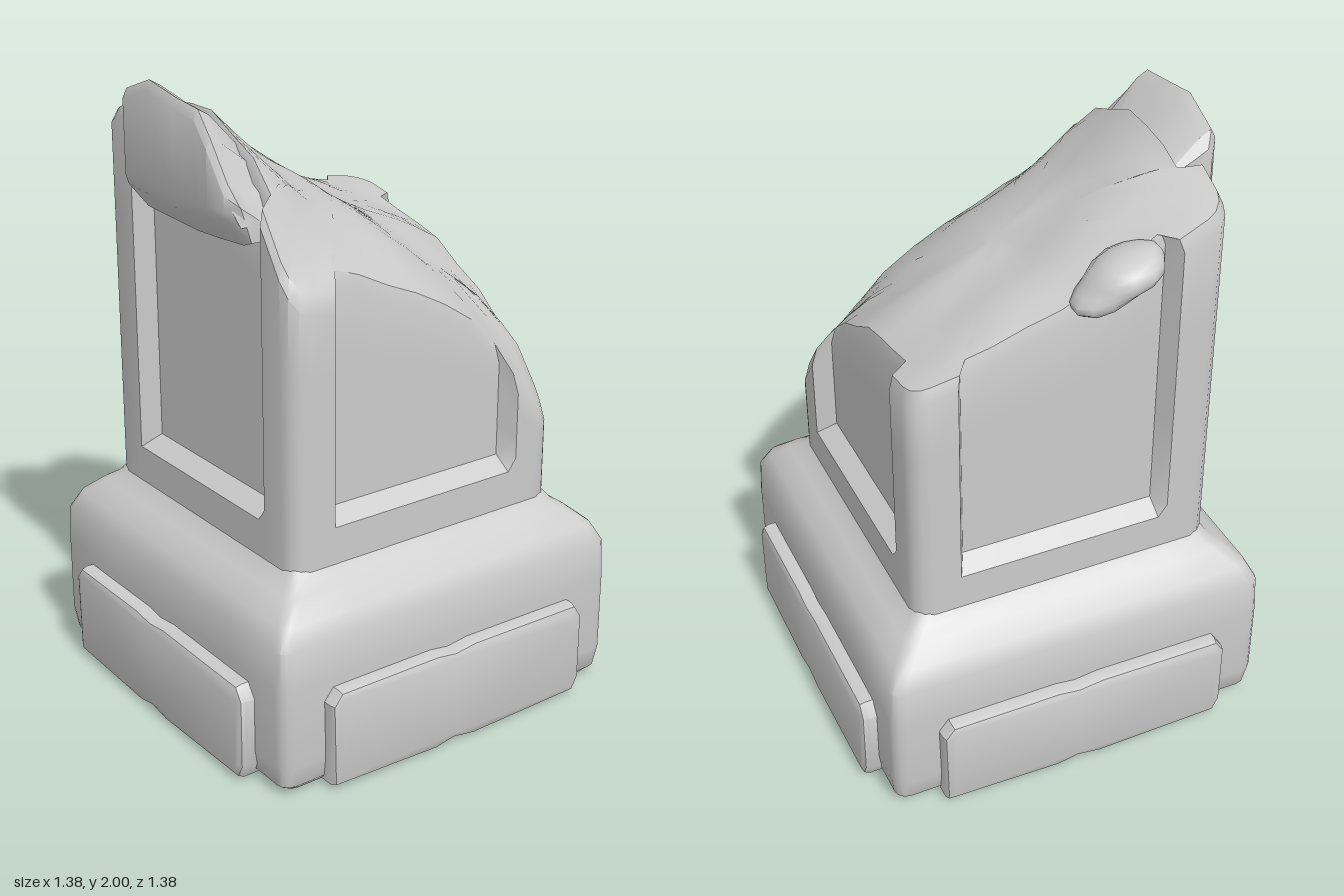
import * as THREE from 'three';
import { toCreasedNormals } from 'three/addons/utils/BufferGeometryUtils.js';

const material = new THREE.MeshStandardMaterial({ color: 0xcccccc });

function addMesh(parent, name, geometry, crease = 0.6) {
  const mesh = new THREE.Mesh(toCreasedNormals(geometry, crease), material);
  mesh.name = name;
  parent.add(mesh);
  return mesh;
}

// Skin a list of closed rings, each a list of [x, y, z]
function loft(rings) {
  const n = rings[0].length, index = [];
  for (let i = 0; i < rings.length - 1; i++) {
    for (let j = 0; j < n; j++) {
      const k = (j + 1) % n, a = i * n + j, b = i * n + k;
      index.push(a, b, b + n, a, b + n, a + n);
    }
  }
  const geometry = new THREE.BufferGeometry();
  geometry.setAttribute('position', new THREE.Float32BufferAttribute(rings.flat(2), 3));
  geometry.setIndex(index);
  return geometry;
}

// Rounded square outline as [x, z]; "recess" sinks the middle of each side
function outline(half, radius, recess = 0) {
  const points = [], inner = half - radius;
  const across = [-inner, -0.35, -0.32, -0.22, -0.11, 0, 0.11, 0.22, 0.32, 0.35, inner];
  for (let side = 0; side < 4; side++) {
    const sidePoints = across.map(u => [half - (Math.abs(u) < 0.33 ? recess : 0), -u]);
    for (const a of [Math.PI / 6, Math.PI / 3]) {
      sidePoints.push([inner + radius * Math.cos(a), -inner - radius * Math.sin(a)]);
    }
    for (let [x, z] of sidePoints) {
      for (let r = 0; r < side; r++) [x, z] = [z, -x];
      points.push([x, z]);
    }
  }
  return points;
}

const level = (points, y) => points.map(([x, z]) => [x, y, z]);
const centre = (ring, y) => ring.map(() => [0, y, 0]);

// Height of the broken top: rows run back to front, columns from -x to +x
const HEIGHTS = [
  [1.45, 1.42, 1.34, 1.18, 0.88],
  [1.51, 1.50, 1.46, 1.36, 1.18],
  [1.57, 1.60, 1.59, 1.53, 1.33],
  [1.70, 1.78, 1.76, 1.65, 1.44],
  [1.82, 1.96, 1.98, 1.85, 1.49],
];
function breakHeight(x, z) {
  const fx = THREE.MathUtils.clamp((x + 0.5) * 4, 0, 3.999);
  const fz = THREE.MathUtils.clamp((z + 0.5) * 4, 0, 3.999);
  const i = Math.floor(fx), j = Math.floor(fz), lerp = THREE.MathUtils.lerp;
  const y = lerp(lerp(HEIGHTS[j][i], HEIGHTS[j][i + 1], fx - i),
    lerp(HEIGHTS[j + 1][i], HEIGHTS[j + 1][i + 1], fx - i), fz - j);
  return y + 0.012 * Math.sin(13 * x + 5 * z) * Math.cos(11 * z - 4 * x);
}

function createBase(parent) {
  // Plinth with a rounded shoulder
  const profile = [[0.6, 0], [0.63, 0.03], [0.64, 0.1], [0.64, 0.36], [0.635, 0.48],
    [0.605, 0.54], [0.55, 0.59], [0.515, 0.615], [0.49, 0.65]];
  const rings = profile.map(([half, y]) => level(outline(half, 0.04), y));
  rings.unshift(centre(rings[0], 0));
  addMesh(parent, 'plinth', loft(rings), 0.7);

  // Raised, slightly worn slab on each side
  const shape = new THREE.Shape([
    [-0.465, 0.035], [-0.1, 0.022], [-0.03, 0.035], [0.05, 0.022], [0.455, 0.03],
    [0.47, 0.06], [0.47, 0.27], [0.45, 0.3], [0.05, 0.305], [-0.03, 0.295],
    [-0.1, 0.305], [-0.45, 0.305], [-0.47, 0.28],
  ].map(([x, y]) => new THREE.Vector2(x, y)));
  for (const name of ['front', 'right', 'back', 'left'].keys()) {
    const slab = new THREE.ExtrudeGeometry(shape, {
      depth: 0.1, bevelThickness: 0.025, bevelSize: 0.022, bevelSegments: 2,
    });
    slab.translate(0, 0, 0.565).rotateY(name * Math.PI / 2);
    addMesh(parent, 'baseSlab' + (name + 1), slab);
  }
}

function createShaft(parent) {
  const full = outline(0.5, 0.06), sunk = outline(0.5, 0.06, 0.06);
  const rings = [level(full, 0.59), level(full, 0.755), level(sunk, 0.795)];

  // Walls rise to the broken edge
  for (const t of [0.35, 0.7, 1]) {
    rings.push(sunk.map(([x, z]) => [x, 0.795 + t * (breakHeight(x, z) - 0.04 - 0.795), z]));
  }
  // Broken top closes inward
  for (const s of [0.97, 0.88, 0.76, 0.62, 0.48, 0.32, 0.16, 0]) {
    rings.push(sunk.map(([x, z]) => [x * s, breakHeight(x * s, z * s), z * s]));
  }
  addMesh(parent, 'shaft', loft(rings), 0.65);
}

function createRubble(parent) {
  // Overhanging block on the front: x, top height, bottom height, front z
  const sections = [[-0.285, 1.9, 1.6, 0.55], [-0.26, 1.95, 1.58, 0.57], [-0.12, 2, 1.575, 0.575],
    [0.02, 1.975, 1.57, 0.575], [0.13, 1.96, 1.575, 0.57], [0.19, 1.89, 1.58, 0.57],
    [0.26, 1.77, 1.585, 0.56], [0.3, 1.68, 1.6, 0.53]];
  const rings = sections.map(([x, top, bottom, z]) => [
    [x, Math.min(top, breakHeight(x, 0.36)) - 0.03, 0.36],
    [x, top - 0.02, z - 0.05], [x, top, z - 0.015], [x, top - 0.03, z],
    [x, bottom + 0.11, z], [x, bottom + 0.08, z - 0.01],
    [x, bottom, 0.495], [x, bottom, 0.36],
  ]);
  const close = (ring, x) => ring.map(() => [x, 1.65, 0.45]);
  rings.unshift(close(rings[0], -0.285));
  rings.push(close(rings.at(-1), 0.3));
  addMesh(parent, 'frontOverhang', loft(rings));

  // Small lump bulging from the side
  const lump = new THREE.SphereGeometry(1, 14, 10);
  const p = lump.attributes.position;
  for (let i = 0; i < p.count; i++) {
    const x = p.getX(i), y = p.getY(i), z = p.getZ(i);
    const s = 1 + 0.08 * Math.sin(4 * z + 3 * y);
    p.setXYZ(i, -0.45 + 0.1 * s * x, 1.66 + 0.07 * s * y + 0.06 * z, 0.17 + 0.14 * s * z);
  }
  addMesh(parent, 'sideLump', lump, 0.9);
}

export function createModel() {
  const model = new THREE.Group();
  model.name = 'brokenPillar';
  createBase(model);
  createShaft(model);
  createRubble(model);
  return model;
}
